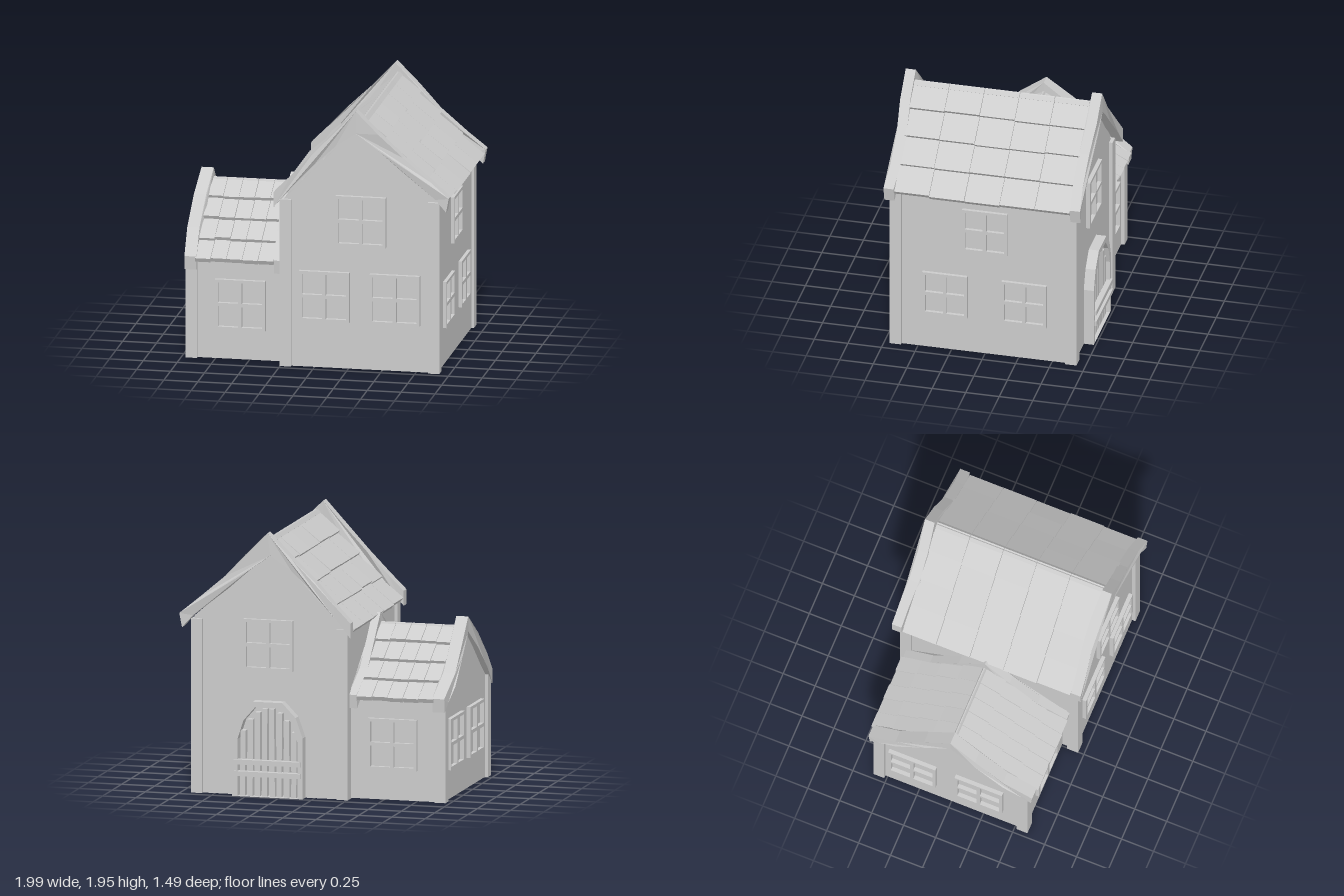
import * as THREE from 'three';

const stone = new THREE.MeshStandardMaterial({ color: 0xcccccc, flatShading: true });
stone.name = 'pale grey';

function createRandom(seed) {
  return () => {
    seed = (seed * 16807) % 2147483647;
    return seed / 2147483647;
  };
}

function add(parent, name, geometry, x = 0, y = 0, z = 0) {
  const mesh = new THREE.Mesh(geometry, stone);
  mesh.name = name;
  mesh.position.set(x, y, z);
  parent.add(mesh);
  return mesh;
}

const toShape = (points) => new THREE.Shape(points.map((p) => new THREE.Vector2(p[0], p[1])));
const extrude = (shape, depth) => new THREE.ExtrudeGeometry(shape, { depth, bevelEnabled: false });

// Wavy board following a gable, centred on z
function gableBoard(parent, upper, lower, z, thickness, phase) {
  const geometry = extrude(toShape([...lower, ...[...upper].reverse()]), thickness);
  const pos = geometry.attributes.position;
  for (let i = 0; i < pos.count; i++) {
    const wave = 0.013 * Math.sin(pos.getX(i) * 9 + phase);
    pos.setZ(i, pos.getZ(i) - thickness / 2 + wave);
  }
  geometry.computeVertexNormals();
  add(parent, 'gableBoard', geometry, 0, 0, z);
}

// One roof slope of overlapping, slightly uneven tiles; the ridge runs along z
function tileSlope(parent, top, bottom, rows, columns, z0, z1, random) {
  const a = new THREE.Vector2(...top);
  const b = new THREE.Vector2(...bottom);
  const along = b.clone().sub(a).normalize();
  const normal = new THREE.Vector2(-along.y, along.x);
  if (normal.y < 0) normal.negate();
  const width = (z1 - z0) / columns;
  for (let r = 0; r < rows; r++) {
    for (let c = 0; c < columns; c++) {
      const start = a.clone().lerp(b, r / rows).addScaledVector(normal, -0.028);
      const end = a.clone().lerp(b, (r + 1) / rows)
        .addScaledVector(normal, -0.006 + random() * 0.006)
        .addScaledVector(along, random() * 0.012);
      const mid = start.clone().add(end).multiplyScalar(0.5);
      const tile = add(parent, 'roofTile',
        new THREE.BoxGeometry(start.distanceTo(end), 0.034, width - 0.003),
        mid.x, mid.y, z0 + (c + 0.5) * width);
      tile.rotation.z = Math.atan2(end.y - start.y, end.x - start.x);
    }
  }
}

// Four-pane window frame standing on a wall; turn is the angle it faces
function windowFrame(parent, x, y, z, turn, w = 0.37, h = 0.375) {
  const shape = toShape([[-w / 2, -h / 2], [w / 2, -h / 2], [w / 2, h / 2], [-w / 2, h / 2]]);
  const bar = 0.013;
  const rim = 0.022;
  for (const sx of [-1, 1]) {
    for (const sy of [-1, 1]) {
      const x0 = sx * bar, x1 = sx * (w / 2 - rim);
      const y0 = sy * bar, y1 = sy * (h / 2 - rim);
      shape.holes.push(toShape([[x0, y0], [x1, y0], [x1, y1], [x0, y1]]));
    }
  }
  const frame = add(parent, 'windowFrame', extrude(shape, 0.035), x, y, z);
  frame.rotation.y = turn;
}

function post(parent, x, z, height) {
  add(parent, 'cornerPost', new THREE.BoxGeometry(0.085, height, 0.085), x, height / 2, z);
}

function mainHouse(random) {
  const group = new THREE.Group();
  group.name = 'mainHouse';

  // Walls and corner posts
  const body = toShape([[-0.235, 0], [0.905, 0], [0.905, 1.3], [0.315, 1.81], [-0.235, 1.24]]);
  add(group, 'mainWalls', extrude(body, 1.34), 0, 0, -0.66);
  for (const z of [0.664, -0.643]) {
    post(group, -0.2125, z, 1.25);
    post(group, 0.8825, z, 1.28);
  }

  // Roof
  tileSlope(group, [0.36, 1.89], [-0.28, 1.25], 4, 5, -0.65, 0.66, random);
  tileSlope(group, [0.36, 1.89], [0.98, 1.29], 4, 5, -0.65, 0.66, random);
  const upper = [[-0.29, 1.31], [-0.17, 1.43], [-0.02, 1.59], [0.14, 1.76], [0.315, 1.945],
    [0.48, 1.78], [0.66, 1.61], [0.86, 1.44], [1, 1.325]];
  const lower = [[-0.29, 1.2], [-0.17, 1.34], [0, 1.52], [0.16, 1.67], [0.315, 1.78],
    [0.48, 1.66], [0.65, 1.51], [0.9, 1.31], [0.98, 1.22]];
  gableBoard(group, upper, lower, 0.69, 0.075, 4.2);
  gableBoard(group, upper.map(([x, y]) => [x + 0.02 * (y > 1.7), y]), lower, -0.685, 0.075, 1);

  // Windows
  windowFrame(group, 0.075, 0.535, 0.675, 0);
  windowFrame(group, 0.595, 0.535, 0.675, 0);
  windowFrame(group, 0.345, 1.11, 0.675, 0);
  windowFrame(group, 0.345, 1.11, -0.655, Math.PI);
  for (const [z, y] of [[0.297, 0.453], [-0.293, 0.453], [0, 1.01]]) {
    windowFrame(group, 0.895, y, z, Math.PI / 2, 0.335, 0.345);
  }
  return group;
}

function annex(random) {
  const group = new THREE.Group();
  group.name = 'annex';
  // Built with its ridge along z, then turned so the ridge runs along x
  const turned = new THREE.Group();
  turned.name = 'annexShell';
  turned.rotation.y = Math.PI / 2;
  group.add(turned);

  const body = toShape([[-0.575, 0], [0.575, 0], [0.575, 0.75], [0, 1.17], [-0.575, 0.75]]);
  add(turned, 'annexWalls', extrude(body, 0.75), 0, 0, -0.945);
  for (const side of [-1, 1]) {
    tileSlope(turned, [0, 1.21], [side * 0.64, 0.755], 4, 5, -0.89, -0.31, random);
    post(group, -0.925, side * 0.56, 0.75);
  }
  const mirror = (half) => [...half.slice(1).reverse().map(([x, y]) => [-x, y]), ...half];
  const upper = mirror([[0, 1.27], [0.2, 1.12], [0.42, 0.93], [0.64, 0.77]]);
  const lower = mirror([[0, 1.16], [0.2, 1.01], [0.42, 0.83], [0.56, 0.73], [0.63, 0.67]]);
  gableBoard(turned, upper, lower, -0.935, 0.09, 1.5);
  gableBoard(turned, upper, lower, -0.29, 0.06, 1.5);

  // Windows
  windowFrame(group, -0.565, 0.41, 0.57, 0);
  windowFrame(group, -0.565, 0.41, -0.57, Math.PI);
  for (const z of [-0.3, 0.22]) windowFrame(group, -0.94, 0.41, z, -Math.PI / 2);
  return group;
}

// Arched plank door on the back wall
function door(random) {
  const group = new THREE.Group();
  group.name = 'door';
  group.position.set(0.335, 0, -0.655);
  group.rotation.y = Math.PI;

  const arch = (w, h) => [[w, 0], [w, 0.64 * h], [0.8 * w, 0.85 * h], [0.42 * w, h],
    [-0.42 * w, h], [-0.8 * w, 0.85 * h], [-w, 0.64 * h], [-w, 0]];
  const frame = toShape(arch(0.265, 0.7));
  frame.holes.push(toShape(arch(0.225, 0.655).map(([x, y]) => [x, y + 0.002])));
  add(group, 'doorFrame', extrude(frame, 0.08));

  const count = 8;
  for (let i = 0; i < count; i++) {
    const x = (i - (count - 1) / 2) * 0.055;
    const height = 0.65 - 0.23 * Math.pow(Math.abs(x) / 0.225, 2);
    const plank = add(group, 'doorPlank',
      new THREE.BoxGeometry(0.036 + random() * 0.008, height, 0.055), x, height / 2, 0.0275);
    plank.rotation.z = (random() - 0.5) * 0.025;
  }
  for (const y of [0.168, 0.254]) {
    add(group, 'doorCrossbar', new THREE.BoxGeometry(0.5, 0.036, 0.05), 0, y, 0.07);
  }
  return group;
}

export function createModel() {
  const random = createRandom(17);
  const house = new THREE.Group();
  house.name = 'house';
  house.add(mainHouse(random), annex(random), door(random));
  return house;
}
